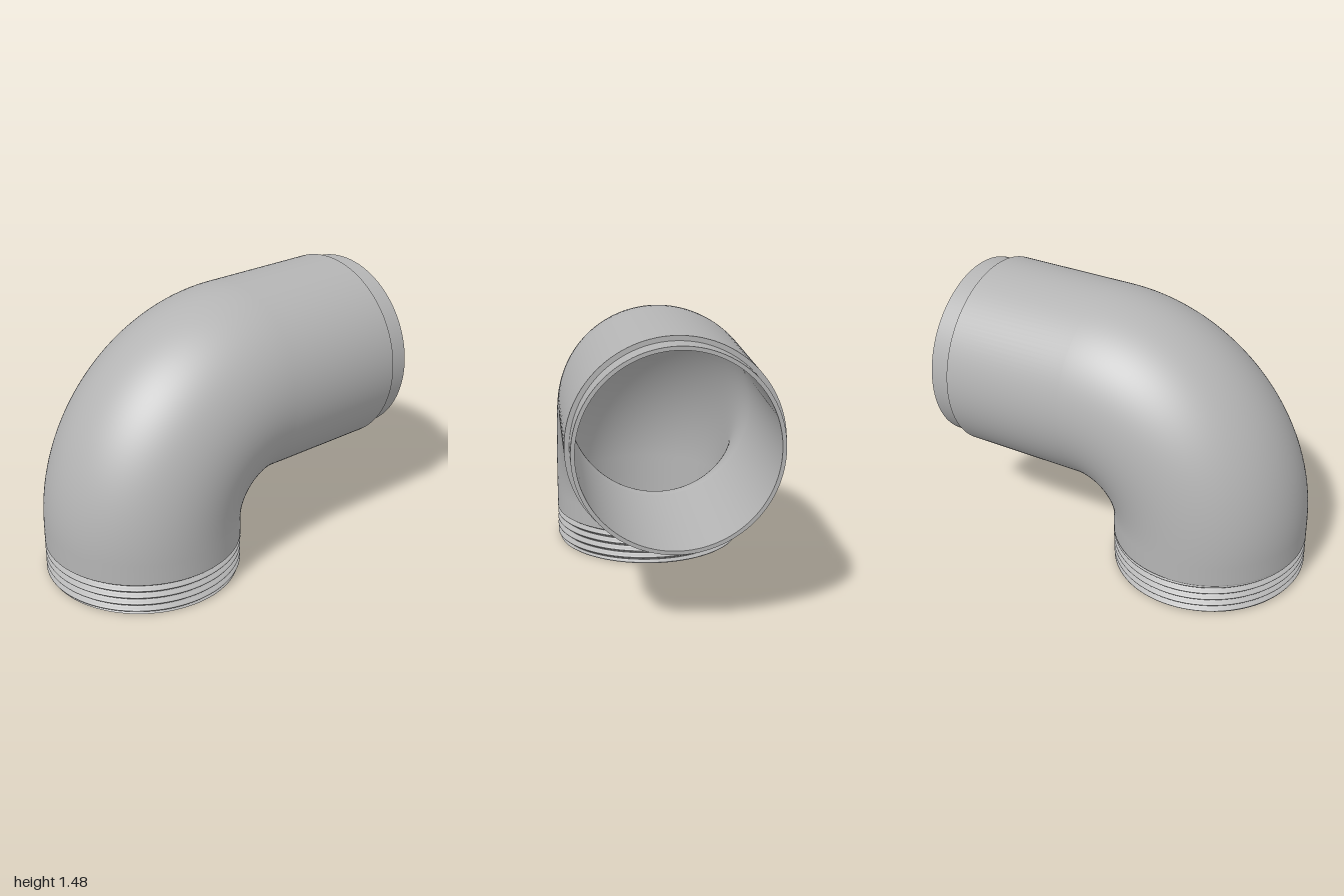
import * as THREE from 'three';

const SIDES = 128;
const OUTER = 0.535, COLLAR = 0.51, BORE_END = 0.49, BORE_BASE = 0.446;
const BEND = 0.645, BEND_Y = 0.295, BEND_Z = -0.18;
const BASE_Z = BEND_Z + BEND, END_Y = BEND_Y + BEND;

// Closed tube of rings: point(theta, row) gives each vertex
function ringSurface(rows, point, inward = false) {
  const pos = [], index = [];
  for (let j = 0; j < rows; j++)
    for (let i = 0; i < SIDES; i++) pos.push(...point((i / SIDES) * Math.PI * 2, j));
  for (let j = 0; j < rows - 1; j++)
    for (let i = 0; i < SIDES; i++) {
      const n = (i + 1) % SIDES;
      const a = j * SIDES + i, b = j * SIDES + n, c = a + SIDES, d = b + SIDES;
      if (inward) index.push(a, c, b, b, c, d);
      else index.push(a, b, c, b, d, c);
    }
  const g = new THREE.BufferGeometry();
  g.setAttribute('position', new THREE.Float32BufferAttribute(pos, 3));
  g.setIndex(index);
  g.computeVertexNormals();
  return g;
}

// Pipe running up from y0, round a quarter bend, then back to z1
function elbow(y0, z1, r0, r1, inward) {
  const steps = 40;
  const stations = [{ a: 0, y: y0, z: BASE_Z }];
  for (let k = 0; k <= steps; k++) {
    const a = (k / steps) * Math.PI / 2;
    stations.push({ a, y: BEND_Y + BEND * Math.sin(a), z: BEND_Z + BEND * Math.cos(a) });
  }
  stations.push({ a: Math.PI / 2, y: END_Y, z: z1 });
  return ringSurface(stations.length, (t, j) => {
    const { a, y, z } = stations[j];
    const r = r0 + (r1 - r0) * (a / (Math.PI / 2));
    const out = r * Math.cos(t);
    return [r * Math.sin(t), y + out * Math.sin(a), z + out * Math.cos(a)];
  }, inward);
}

// Helical thread that runs out into a plain shoulder at the top
function thread() {
  const rows = 81, height = 0.2, pitch = 0.04;
  return ringSurface(rows, (t, j) => {
    const y = (j / (rows - 1)) * height;
    const wave = 0.5 + 0.5 * Math.cos(2 * Math.PI * y / pitch - t);
    const fadeTop = THREE.MathUtils.clamp((0.185 - y) / 0.01, 0, 1);
    const fadeBase = THREE.MathUtils.clamp(y / 0.008, 0, 1);
    const depth = THREE.MathUtils.lerp(0.012, 0.022 * wave, fadeBase) * fadeTop;
    const r = OUTER - depth;
    return [r * Math.sin(t), y, BASE_Z + r * Math.cos(t)];
  });
}

export function createModel() {
  const group = new THREE.Group();
  const grey = new THREE.MeshStandardMaterial({ color: 0xb4b4b4 });
  grey.name = 'plainGrey';

  const add = (name, geometry) => {
    const mesh = new THREE.Mesh(geometry, grey);
    mesh.name = name;
    group.add(mesh);
    return mesh;
  };

  // Main shell and bore
  add('elbowShell', elbow(0.2, -0.88, OUTER, OUTER, false));
  add('bore', elbow(0, -1, BORE_BASE, BORE_END, true));

  // Threaded base
  add('thread', thread());
  add('baseRim', new THREE.RingGeometry(BORE_BASE, OUTER - 0.012, SIDES).rotateX(Math.PI / 2))
    .position.set(0, 0, BASE_Z);

  // Reduced collar at the rear opening
  add('collar', new THREE.CylinderGeometry(COLLAR, COLLAR, 0.12, SIDES, 1, true).rotateX(Math.PI / 2))
    .position.set(0, END_Y, -0.94);
  add('collarStep', new THREE.RingGeometry(COLLAR, OUTER, SIDES).rotateY(Math.PI))
    .position.set(0, END_Y, -0.88);
  add('collarRim', new THREE.RingGeometry(BORE_END, COLLAR, SIDES).rotateY(Math.PI))
    .position.set(0, END_Y, -1);

  return group;
}
